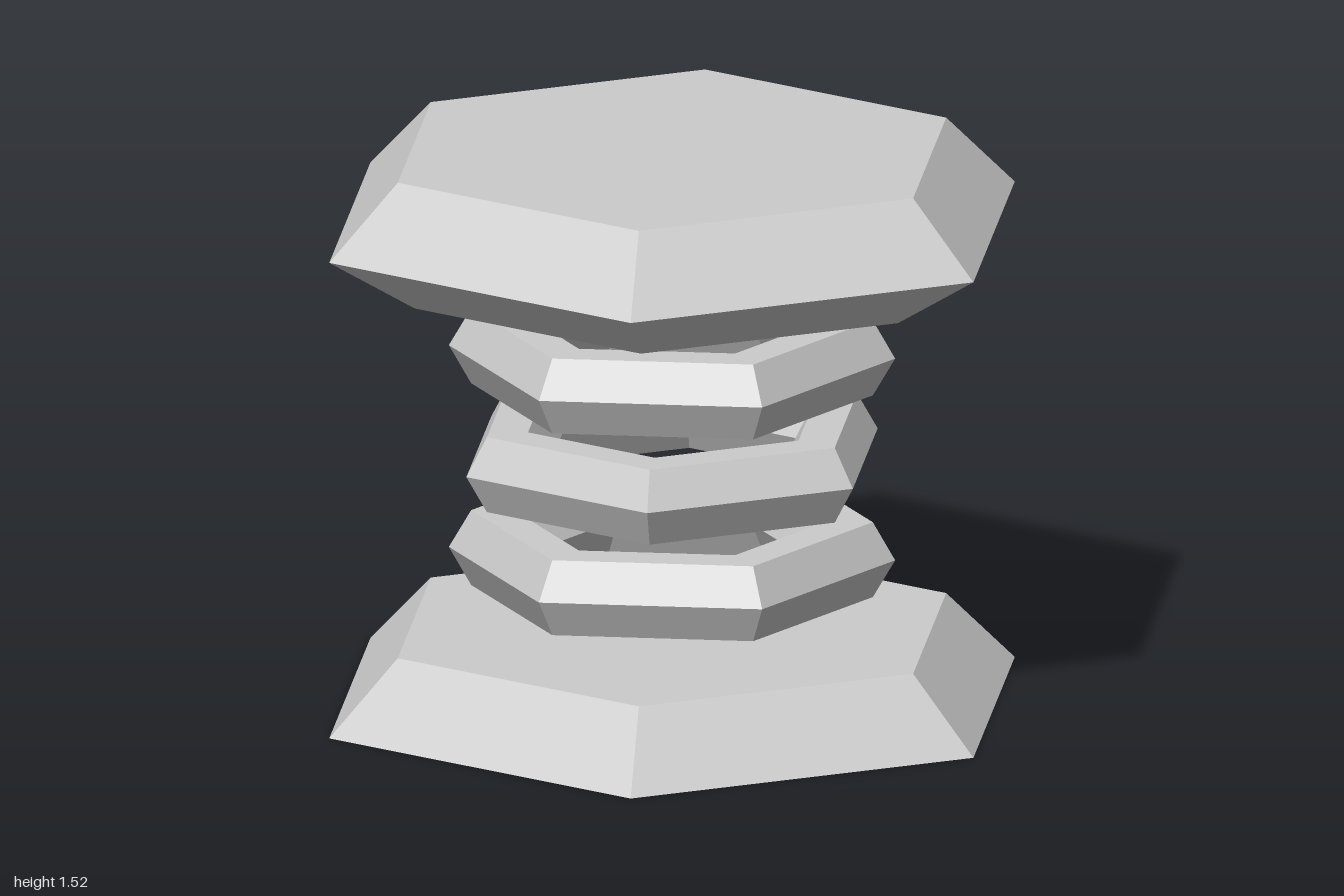
import * as THREE from 'three';

const SIDES = 6;
const material = new THREE.MeshStandardMaterial({ color: 0xcccccc, flatShading: true });

export function createModel() {
  const model = new THREE.Group();
  model.name = 'hexagonalPedestal';

  const add = (parent, name, geometry, y) => {
    const mesh = new THREE.Mesh(geometry, material);
    mesh.name = name;
    mesh.position.y = y;
    parent.add(mesh);
    return mesh;
  };

  // Hexagonal frustum standing on height y, with corners towards +z and -z
  const slab = (parent, name, topR, bottomR, height, y, open = false) =>
    add(parent, name, new THREE.CylinderGeometry(topR, bottomR, height, SIDES, 1, open), y + height / 2);

  // Base plate
  slab(model, 'base', 0.8, 1, 0.2, 0);

  // Three floating hexagonal rings, the middle one turned by half a side
  const ringGeometry = new THREE.TorusGeometry(0.48, 0.12, SIDES, SIDES).rotateX(Math.PI / 2);
  ['lowerRing', 'middleRing', 'upperRing'].forEach((name, i) => {
    add(model, name, ringGeometry, 0.4 + i * 0.28).rotation.y = i === 1 ? Math.PI / SIDES : 0;
  });

  // Table top: bevelled above and below its widest edge, one closed profile
  const profile = [[0, 1.165], [0.75, 1.165], [1, 1.32], [0.8, 1.52], [0, 1.52]]
    .map(([r, y]) => new THREE.Vector2(r, y));
  add(model, 'tableTop', new THREE.LatheGeometry(profile, SIDES), 0);

  return model;
}
